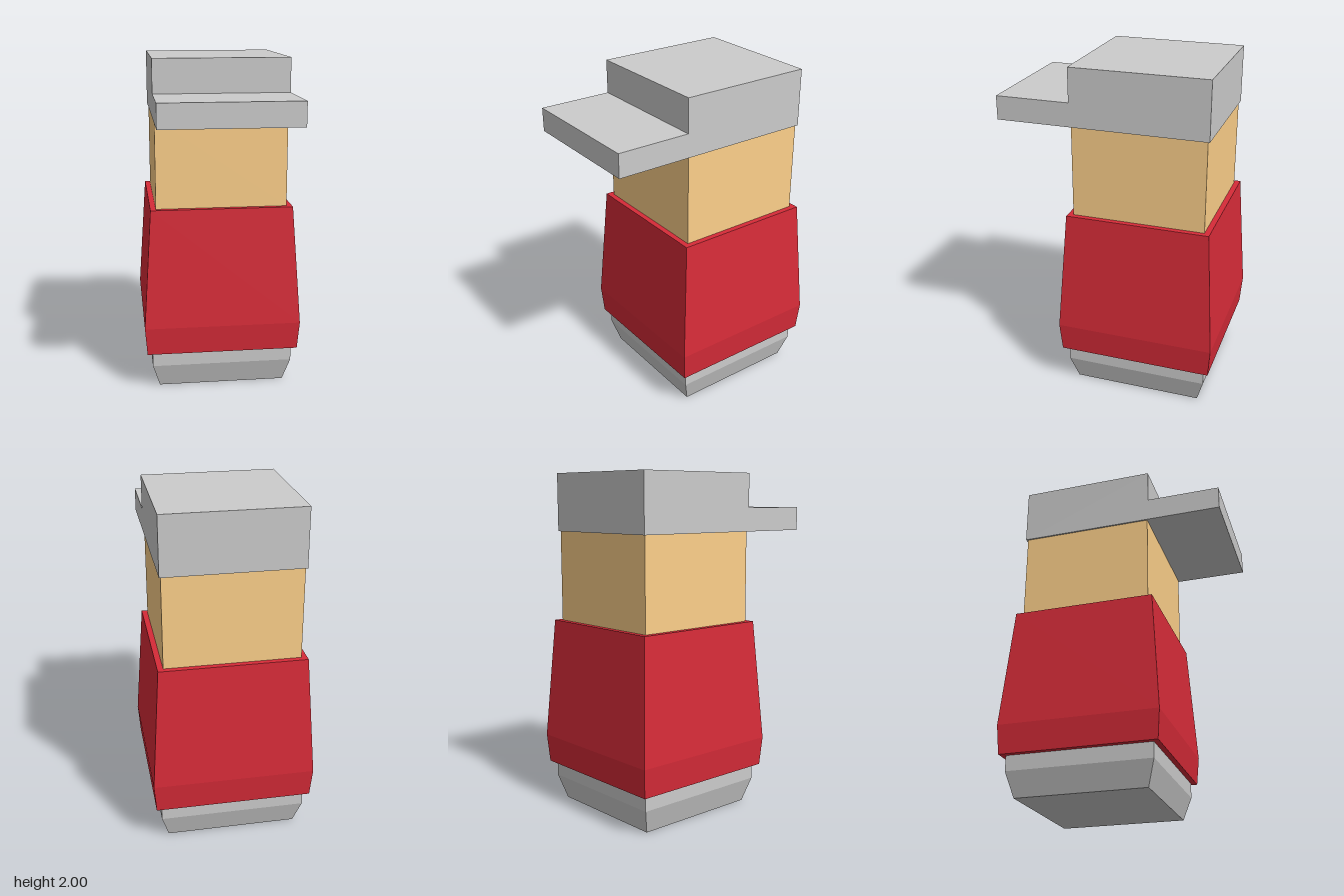
import * as THREE from 'three';

const CENTRE_Z = -0.183; // the body sits behind the visor

const material = (color) => new THREE.MeshStandardMaterial({ color, flatShading: true });

// Closed square solid from [half width, height] pairs, listed bottom to top
function squareTower(name, profile, color) {
  const points = profile.map(([half, y]) => new THREE.Vector2(half * Math.SQRT2, y));
  points.unshift(new THREE.Vector2(0, profile[0][1]));
  points.push(new THREE.Vector2(0, profile[profile.length - 1][1]));
  const geometry = new THREE.LatheGeometry(points, 4, Math.PI / 4);
  const mesh = new THREE.Mesh(geometry, material(color));
  mesh.name = name;
  mesh.position.z = CENTRE_Z;
  return mesh;
}

// Cap with visor: a stepped side profile (z, y) extruded across the width
function cap() {
  const profile = [[-0.585, 1.66], [0.655, 1.66], [0.655, 1.8], [0.217, 1.8], [0.217, 2], [-0.585, 2]];
  const shape = new THREE.Shape(profile.map(([z, y]) => new THREE.Vector2(z, y)));
  const geometry = new THREE.ExtrudeGeometry(shape, { depth: 0.8, bevelEnabled: false });
  geometry.translate(0, 0, -0.4).rotateY(-Math.PI / 2);
  const mesh = new THREE.Mesh(geometry, material(0xcccccc));
  mesh.name = 'capWithVisor';
  return mesh;
}

export function createModel() {
  const group = new THREE.Group();
  group.name = 'blockFigure';
  group.add(
    squareTower('base', [[0.385, 0], [0.428, 0.145], [0.428, 0.235]], 0xcccccc),
    squareTower('jacket', [[0.46, 0.235], [0.473, 0.405], [0.424, 1.125]], 0xd62b38),
    squareTower('head', [[0.391, 1.125], [0.391, 1.66]], 0xfdd08a),
    cap(),
  );
  return group;
}
